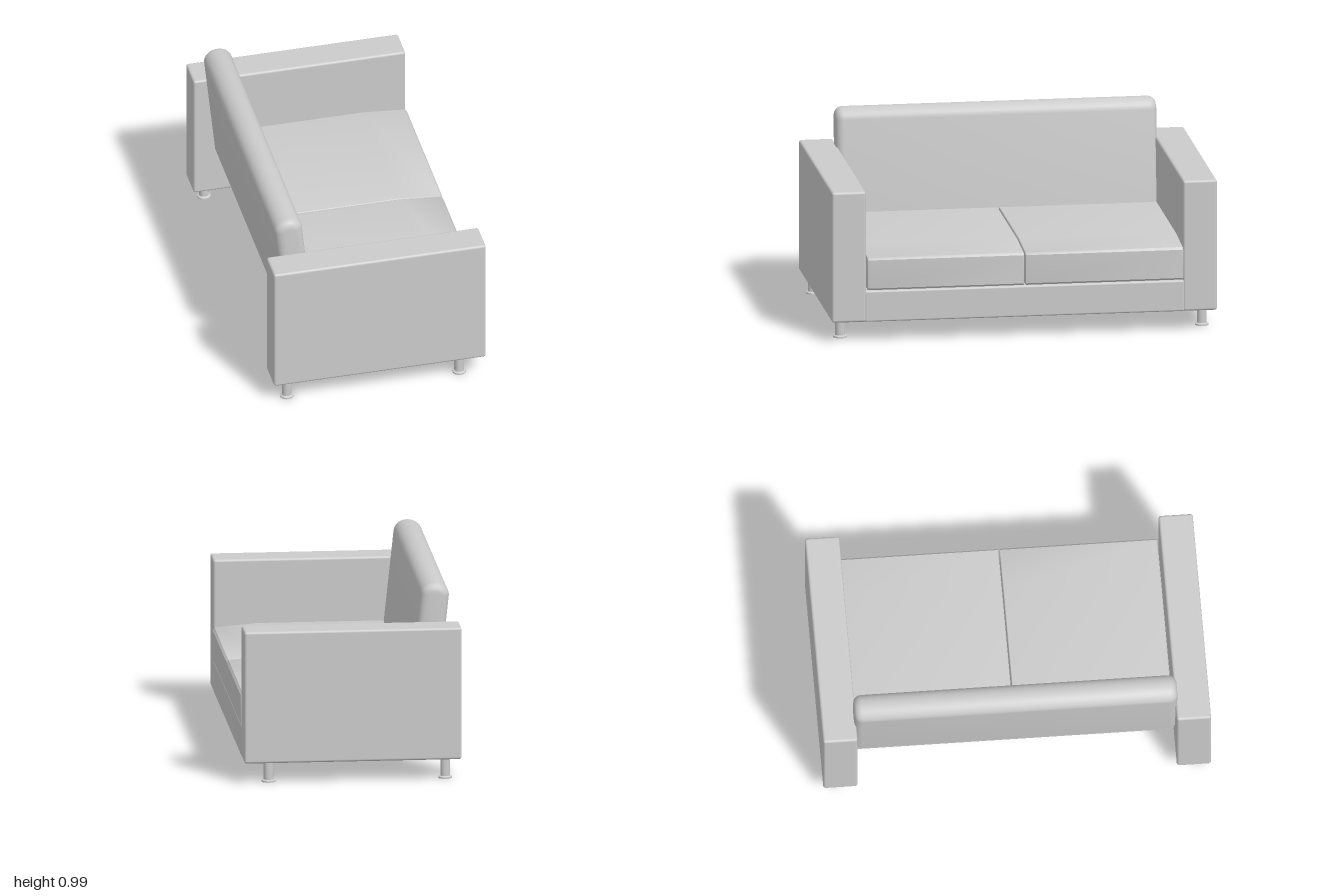
import * as THREE from 'three';
import { toCreasedNormals } from 'three/addons/utils/BufferGeometryUtils.js';
import { RoundedBoxGeometry } from 'three/addons/geometries/RoundedBoxGeometry.js';

const material = new THREE.MeshStandardMaterial({ color: 0xcccccc });

// The whole sofa is slightly skewed: z drifts as x grows
function skew(geometry) {
  return geometry.applyMatrix4(new THREE.Matrix4().set(
    1, 0, 0, 0,
    0, 1, 0, 0,
    -0.017, 0, 1, 0,
    0, 0, 0, 1));
}

function addPart(group, name, geometry) {
  const mesh = new THREE.Mesh(skew(geometry), material);
  mesh.name = name;
  group.add(mesh);
}

// Rounded box given by its limits on each axis
function block(x0, x1, y0, y1, z0, z1, radius) {
  return new RoundedBoxGeometry(x1 - x0, y1 - y0, z1 - z0, 3, radius)
    .translate((x0 + x1) / 2, (y0 + y1) / 2, (z0 + z1) / 2);
}

// Side profile extruded along z, with softened rims inside the limits
function upholstered(shape, z0, z1, bevel) {
  const geometry = new THREE.ExtrudeGeometry(shape, {
    depth: z1 - z0 - 2 * bevel, curveSegments: 8,
    bevelThickness: bevel, bevelSize: bevel, bevelOffset: -bevel, bevelSegments: 4,
  }).translate(0, 0, z0 + bevel);
  return toCreasedNormals(geometry, 0.6);
}

function cushionShape() {
  const s = new THREE.Shape();
  s.moveTo(-0.37, 0.272);
  s.lineTo(0.55, 0.272);
  s.lineTo(0.558, 0.282);
  s.lineTo(0.558, 0.43);
  s.lineTo(0.548, 0.442);
  s.lineTo(0.33, 0.46);
  s.lineTo(-0.37, 0.46);
  s.closePath();
  return s;
}

// Upright slab with a round top, drawn around x = 0
function backrestShape() {
  const s = new THREE.Shape();
  s.moveTo(-0.072, 0);
  s.lineTo(0.072, 0);
  s.lineTo(0.072, 0.54);
  s.absellipse(0, 0.54, 0.072, 0.062, 0, Math.PI, false);
  s.closePath();
  return s;
}

export function createModel() {
  const sofa = new THREE.Group();
  sofa.name = 'sofa';

  addPart(sofa, 'seatBase', block(-0.36, 0.553, 0.105, 0.268, -0.822, 0.822, 0.01));

  // Leaning backrest
  const back = upholstered(backrestShape(), -0.825, 0.825, 0.04);
  back.rotateZ(0.107).translate(-0.382, 0.388, 0);
  addPart(sofa, 'backrest', back);

  // Foot with a flared pad, as a turned profile
  const legProfile = [[0, 0], [0.035, 0], [0.035, 0.008], [0.025, 0.013], [0.025, 0.11]]
    .map(([r, y]) => new THREE.Vector2(r, y));

  for (const side of [1, -1]) {
    const label = side > 0 ? 'near' : 'far';

    addPart(sofa, label + 'Armrest',
      block(-0.56, 0.553, 0.105, 0.79, side * 0.9025 - 0.0875, side * 0.9025 + 0.0875, 0.013));

    const [z0, z1] = side > 0 ? [0.003, 0.808] : [-0.815, -0.003];
    addPart(sofa, label + 'SeatCushion', upholstered(cushionShape(), z0, z1, 0.006));

    for (const [place, x] of [['Front', 0.425], ['Back', -0.48]]) {
      const leg = toCreasedNormals(new THREE.LatheGeometry(legProfile, 24), 0.5);
      addPart(sofa, label + place + 'Leg', leg.translate(x, 0, side * 0.93));
    }
  }
  return sofa;
}
